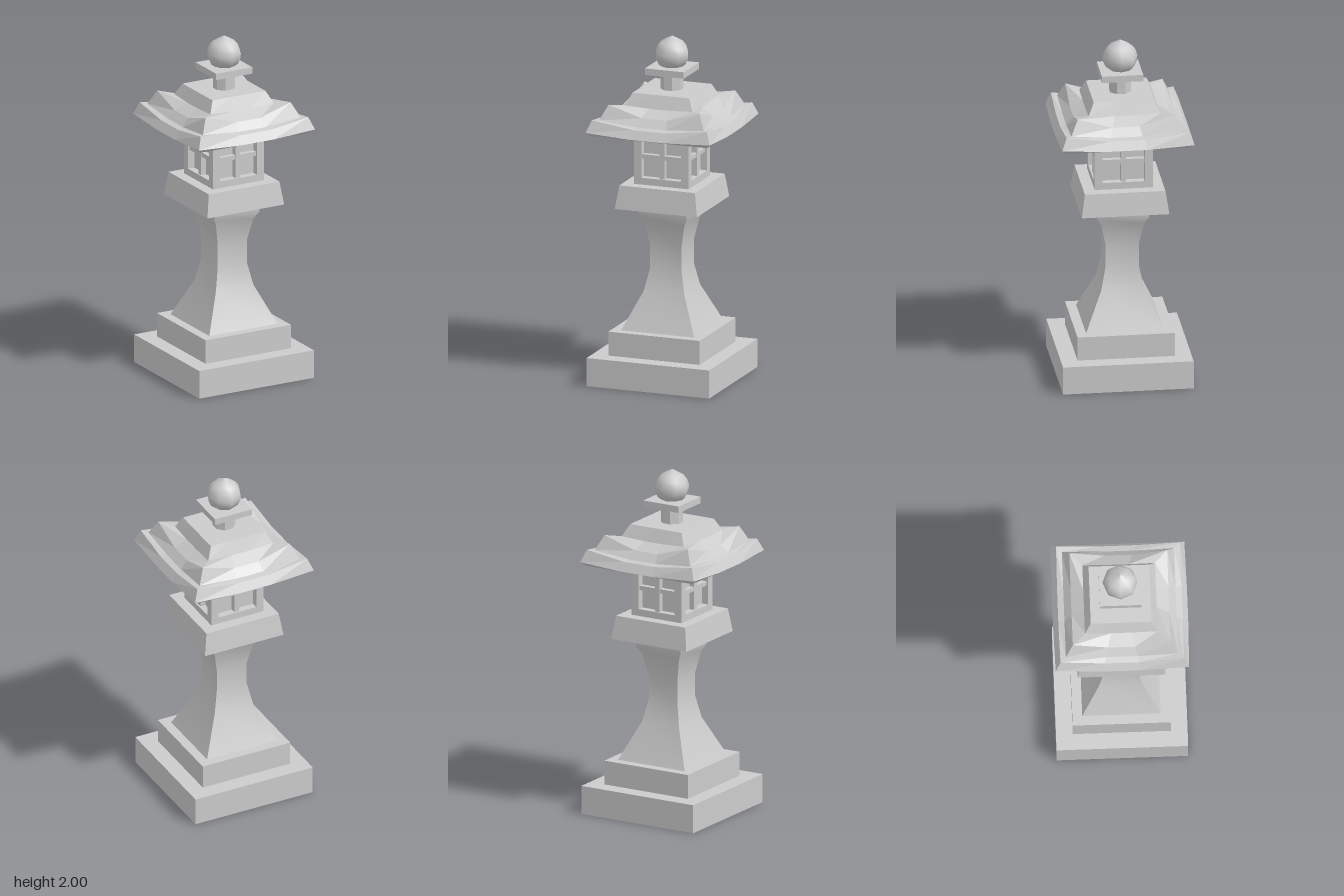
import * as THREE from 'three';
import { toCreasedNormals } from 'three/addons/utils/BufferGeometryUtils.js';

const flat = new THREE.MeshStandardMaterial({ color: 0xcccccc, flatShading: true });
const smooth = new THREE.MeshStandardMaterial({ color: 0xcccccc });
const shell = new THREE.MeshStandardMaterial({ color: 0xcccccc, flatShading: true, side: THREE.DoubleSide });

function add(parent, name, geometry, material = flat) {
  const mesh = new THREE.Mesh(geometry, material);
  mesh.name = name;
  parent.add(mesh);
  return mesh;
}

// Square lathe: profile of [half width, y], listed from bottom to top
function squareLathe(profile) {
  const points = profile.map(([h, y]) => new THREE.Vector2(h * Math.SQRT2, y));
  return new THREE.LatheGeometry(points, 4, Math.PI / 4);
}

function box(w, h, d, x, y, z) {
  return new THREE.BoxGeometry(w, h, d).translate(x, y, z);
}

// Square rings with lifted corners: [corner half width, middle half width, corner y, middle y]
function curvedRoof(rings) {
  const positions = [];
  const index = [];
  const n = 12;
  for (const [rc, rm, yc, ym] of rings) {
    for (let side = 0; side < 4; side++) {
      const a = side * Math.PI / 2;
      const along = [[-rc, rc, yc], [-rm * 0.28, rm, ym], [rm * 0.28, rm, ym]];
      for (const [u, v, y] of along) {
        positions.push(u * Math.cos(a) + v * Math.sin(a), y, v * Math.cos(a) - u * Math.sin(a));
      }
    }
  }
  for (let r = 0; r < rings.length - 1; r++) {
    for (let i = 0; i < n; i++) {
      const a = r * n + i;
      const b = r * n + (i + 1) % n;
      index.push(a, b, b + n, a, b + n, a + n);
    }
  }
  const g = new THREE.BufferGeometry();
  g.setAttribute('position', new THREE.Float32BufferAttribute(positions, 3));
  g.setIndex(index);
  const out = g.toNonIndexed();
  out.computeVertexNormals();
  return out;
}

export function createModel() {
  const lantern = new THREE.Group();
  lantern.name = 'stoneLantern';

  // Stepped base, hollow underneath
  add(lantern, 'baseStep', squareLathe([[0.373, 0], [0.373, 0.165], [0, 0.165]]), shell);
  add(lantern, 'upperStep', squareLathe([[0.278, 0.165], [0.278, 0.305], [0, 0.305]]));

  // Waisted column, soft along its height and sharp at the corners
  const column = squareLathe([
    [0.222, 0.305], [0.122, 0.525], [0.095, 0.655], [0.095, 0.79],
    [0.122, 0.92], [0.147, 0.965], [0.147, 1.02],
  ]);
  add(lantern, 'column', toCreasedNormals(column, 0.6), smooth);

  // Tapered platform
  add(lantern, 'platform', squareLathe([[0, 1.02], [0.25, 1.02], [0.23, 1.155], [0, 1.155]]));

  // Light chamber: recessed core, corner posts, rails and window bars
  const chamber = new THREE.Group();
  chamber.name = 'lightChamber';
  lantern.add(chamber);
  add(chamber, 'windowPanels', box(0.25, 0.3, 0.25, 0, 1.308, 0));
  for (const x of [-1, 1]) {
    for (const z of [-1, 1]) {
      add(chamber, 'cornerPost', box(0.046, 0.305, 0.046, x * 0.143, 1.3075, z * 0.143));
    }
  }
  for (let i = 0; i < 4; i++) {
    const windowFrame = new THREE.Group();
    windowFrame.name = 'windowFrame';
    windowFrame.rotation.y = i * Math.PI / 2;
    add(windowFrame, 'lowerRail', box(0.24, 0.04, 0.046, 0, 1.175, 0.143));
    add(windowFrame, 'upperRail', box(0.24, 0.025, 0.046, 0, 1.4475, 0.143));
    add(windowFrame, 'uprightBar', box(0.03, 0.24, 0.035, 0, 1.315, 0.14));
    add(windowFrame, 'crossBar', box(0.24, 0.025, 0.032, 0, 1.318, 0.139));
    chamber.add(windowFrame);
  }

  // Three-tier roof with upswept corners
  add(lantern, 'roof', curvedRoof([
    [0, 0, 1.46, 1.46],
    [0.35, 0.35, 1.46, 1.46],
    [0.378, 0.383, 1.485, 1.472],
    [0.35, 0.353, 1.555, 1.522],
    [0.318, 0.318, 1.55, 1.53],
    [0.277, 0.277, 1.635, 1.575],
    [0.206, 0.206, 1.622, 1.615],
    [0.172, 0.172, 1.69, 1.69],
    [0, 0, 1.69, 1.69],
  ]));

  // Finial: eight-sided neck, square plate and pointed ball
  const neck = new THREE.CylinderGeometry(0.064, 0.064, 0.1, 8);
  neck.rotateY(Math.PI / 8).translate(0, 1.738, 0);
  add(lantern, 'finialNeck', neck);
  add(lantern, 'finialPlate', box(0.236, 0.038, 0.236, 0, 1.805, 0));
  const ball = [
    [0, 1.815], [0.055, 1.817], [0.082, 1.838], [0.097, 1.87], [0.099, 1.9],
    [0.088, 1.937], [0.066, 1.963], [0.032, 1.983], [0, 2],
  ].map(([r, y]) => new THREE.Vector2(r, y));
  add(lantern, 'finialBall', new THREE.LatheGeometry(ball, 8), smooth);

  return lantern;
}
